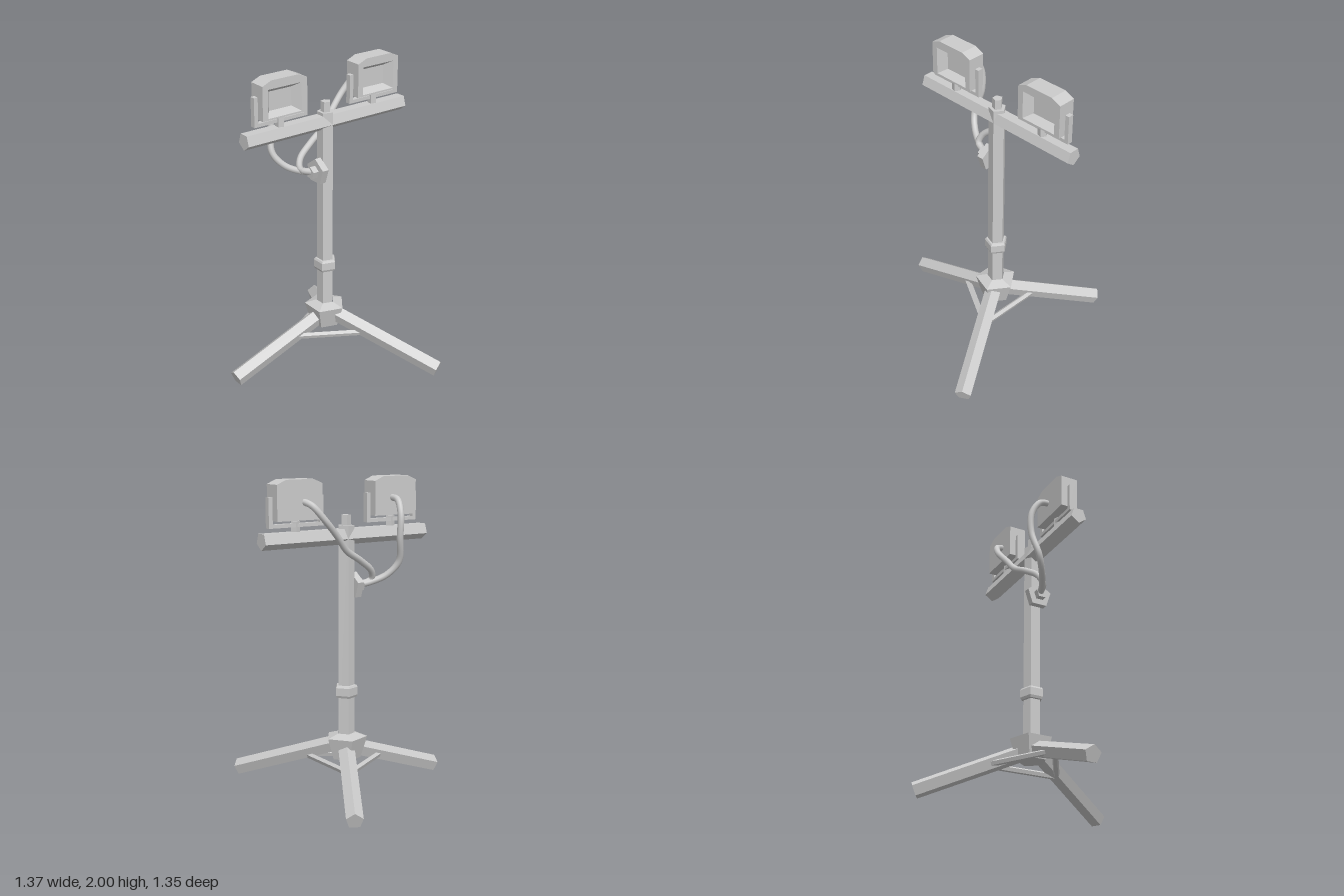
import * as THREE from 'three';

const CX = -0.045, CZ = -0.067; // mast axis
const V = (x, y, z) => new THREE.Vector3(x, y, z);
const UP = V(0, 1, 0), DOWN = V(0, -1, 0), BACK = V(0, 0, -1);

export function createModel() {
  const model = new THREE.Group();
  const flat = new THREE.MeshStandardMaterial({ color: 0xcccccc, flatShading: true });
  const thin = new THREE.MeshStandardMaterial({ color: 0xcccccc, flatShading: true, side: THREE.DoubleSide });
  const smooth = new THREE.MeshStandardMaterial({ color: 0xcccccc });

  function add(parent, name, geometry, material = flat) {
    const mesh = new THREE.Mesh(geometry, material);
    mesh.name = name;
    parent.add(mesh);
    return mesh;
  }

  // Five-sided bar from a to b, with one ridge turned towards "ridge"
  function bar(parent, name, a, b, r, ridge) {
    const geo = new THREE.CylinderGeometry(r, r, a.distanceTo(b), 5);
    const y = b.clone().sub(a).normalize();
    const x = y.clone().cross(ridge).normalize();
    const z = x.clone().cross(y);
    geo.applyMatrix4(new THREE.Matrix4().makeBasis(x, y, z));
    const mid = a.clone().add(b).multiplyScalar(0.5);
    geo.translate(mid.x, mid.y, mid.z);
    return add(parent, name, geo);
  }

  // Five-sided turned part around the mast
  function turned(name, profile) {
    const geo = new THREE.LatheGeometry(profile.map(([r, y]) => new THREE.Vector2(r, y)), 5);
    add(model, name, geo.rotateY(Math.PI).translate(CX, 0, CZ));
  }

  // Mast, crossbeam, collar and hub
  bar(model, 'mast', V(CX, 0.25, CZ), V(CX, 1.705, CZ), 0.055, BACK);
  bar(model, 'mastCap', V(CX, 1.7, CZ), V(CX, 1.77, CZ), 0.032, BACK);
  bar(model, 'crossbeam', V(CX, 1.641, -0.675), V(CX, 1.641, 0.54), 0.055, DOWN);
  turned('collar', [[0.05, 0.612], [0.068, 0.615], [0.076, 0.63], [0.076, 0.68], [0.068, 0.692], [0.05, 0.695]]);
  turned('hub', [[0, 0.215], [0.095, 0.215], [0.137, 0.355], [0.06, 0.38]]);

  // Tripod legs, each rising to the hub at the same slope
  const slope = 0.35;
  const feet = [V(CX, 0.043, 0.655), V(0.652, 0.043, -0.457), V(-0.655, 0.043, -0.435)];
  const braceEnds = feet.map((foot) => {
    const out = V(foot.x - CX, 0, foot.z - CZ);
    const reach = out.length();
    out.normalize();
    const at = (d) => V(CX + out.x * d, foot.y + (reach - d) * slope, CZ + out.z * d);
    bar(model, 'leg', at(0.05), foot, 0.055, UP);
    return at(0.29).setY(0.198);
  });
  braceEnds.forEach((p, i) => bar(model, 'legBrace', p, braceEnds[(i + 1) % 3], 0.02, UP));

  // Cable junction on the front of the mast
  bar(model, 'junctionPlate', V(-0.04, 1.323, -0.025), V(-0.04, 1.323, 0.02), 0.085, UP);
  bar(model, 'junctionSocket', V(-0.04, 1.323, 0), V(-0.04, 1.323, 0.06), 0.04, UP);

  // Floodlights, facing +x
  const rect = (w, y0, y1) => [[-w, y0], [w, y0], [w, y1], [-w, y1]];
  const toPoints = (list) => list.map(([a, b]) => new THREE.Vector2(a, b));
  const outline = [[-0.16, 1.757], [0.16, 1.757], [0.16, 1.973], [0.097, 2], [-0.097, 2], [-0.16, 1.973]];
  const opening = rect(0.122, 1.768, 1.947), floor = rect(0.082, 1.795, 1.915);

  function slab(x0, x1, hole) {
    const shape = new THREE.Shape(toPoints(outline));
    if (hole) shape.holes.push(new THREE.Path(toPoints(hole)));
    const geo = new THREE.ExtrudeGeometry(shape, { depth: x1 - x0, bevelEnabled: false });
    return geo.rotateY(Math.PI / 2).translate(x0, 0, 0);
  }

  // Sloping reflector between the opening and the recessed floor
  function reflector() {
    const pos = [], index = [];
    opening.forEach(([z, y]) => pos.push(0.007, y, -z));
    floor.forEach(([z, y]) => pos.push(-0.045, y, -z));
    for (let i = 0; i < 4; i++) {
      const j = (i + 1) % 4;
      index.push(i, j, j + 4, i, j + 4, i + 4);
    }
    index.push(4, 5, 6, 4, 6, 7);
    const geo = new THREE.BufferGeometry();
    geo.setAttribute('position', new THREE.Float32BufferAttribute(pos, 3));
    geo.setIndex(index);
    geo.computeVertexNormals();
    return geo;
  }

  for (const z of [0.275, -0.44]) {
    const lamp = new THREE.Group();
    lamp.name = 'floodlight';
    lamp.position.z = z;
    model.add(lamp);
    add(lamp, 'lampBack', slab(-0.107, -0.05));
    add(lamp, 'lampRim', slab(-0.05, 0.007, opening));
    add(lamp, 'reflector', reflector(), thin);
    // U-shaped bracket and its neck
    for (const side of [-1, 1]) {
      add(lamp, 'bracketArm', new THREE.BoxGeometry(0.035, 0.185, 0.027)).position.set(-0.05, 1.8075, side * 0.181);
    }
    add(lamp, 'bracketBase', new THREE.BoxGeometry(0.035, 0.022, 0.388)).position.set(-0.05, 1.726, 0);
    bar(lamp, 'bracketNeck', V(-0.042, 1.68, 0.005), V(-0.042, 1.75, 0.005), 0.03, BACK);
  }

  // Cables from the lamp backs down to the junction
  const cables = [
    [[-0.09, 1.868, 0.25], [-0.16, 1.855, 0.25], [-0.212, 1.77, 0.235], [-0.212, 1.63, 0.23],
      [-0.17, 1.47, 0.255], [-0.12, 1.385, 0.2], [-0.07, 1.34, 0.11], [-0.045, 1.325, 0.04]],
    [[-0.09, 1.868, -0.41], [-0.15, 1.845, -0.385], [-0.18, 1.755, -0.31], [-0.165, 1.65, -0.21],
      [-0.145, 1.56, -0.13], [-0.12, 1.49, -0.01], [-0.09, 1.41, 0.1], [-0.065, 1.355, 0.115], [-0.045, 1.325, 0.04]],
  ];
  for (const path of cables) {
    const curve = new THREE.CatmullRomCurve3(path.map((p) => V(...p)));
    add(model, 'cable', new THREE.TubeGeometry(curve, 48, 0.021, 10), smooth);
  }

  return model;
}
